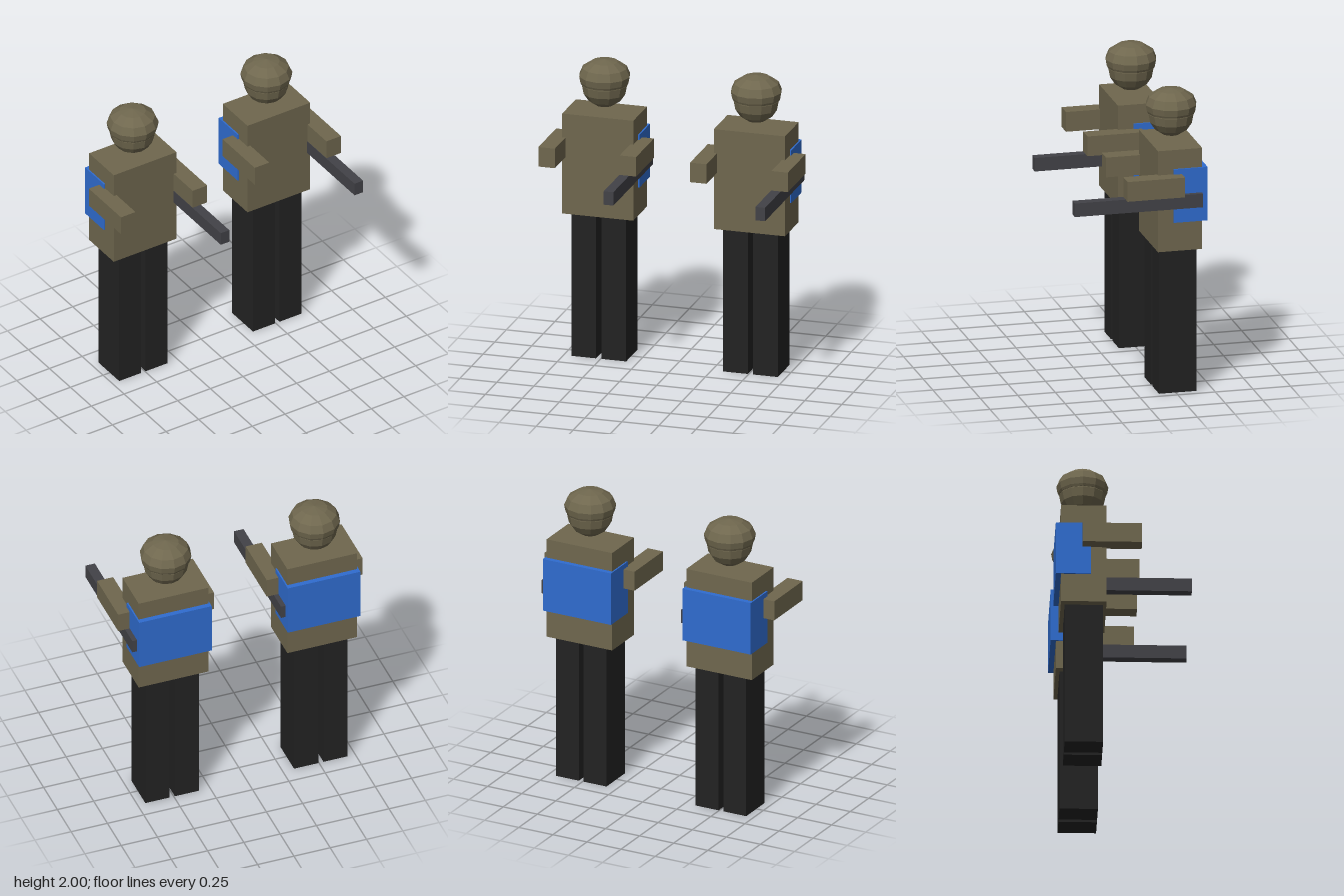
import * as THREE from 'three';

function material(name, color, flatShading = false) {
  const m = new THREE.MeshStandardMaterial({ color, flatShading });
  m.name = name;
  return m;
}

// Box given by its extents on each axis
function box(name, mat, [x0, x1], [y0, y1], [z0, z1]) {
  const mesh = new THREE.Mesh(new THREE.BoxGeometry(x1 - x0, y1 - y0, z1 - z0), mat);
  mesh.position.set((x0 + x1) / 2, (y0 + y1) / 2, (z0 + z1) / 2);
  mesh.name = name;
  return mesh;
}

export function createModel() {
  const olive = material('olive', 0x6f674e, true);
  const black = material('trouser black', 0x222222);
  const blue = material('vest blue', 0x2f6ccf);
  const grey = material('gun grey', 0x424247);

  // Faceted helmet with a tucked-in closed rim
  const helmetProfile = [[0, 1.835], [0.153, 1.835], [0.16, 1.85], [0.168, 1.892],
    [0.146, 1.945], [0.086, 1.985], [0, 2]].map(([r, y]) => new THREE.Vector2(r, y));
  const helmetGeometry = new THREE.LatheGeometry(helmetProfile, 12);
  const headGeometry = new THREE.SphereGeometry(0.15, 12, 8);

  function figure(name) {
    const g = new THREE.Group();
    g.name = name;
    g.add(box('torso', olive, [-0.24, 0.24], [0.972, 1.653], [-0.412, -0.118]));
    g.add(box('backPack', blue, [-0.25, 0.25], [1.165, 1.525], [-0.446, -0.22]));
    for (const [side, s] of [['left', 1], ['right', -1]]) {
      const span = (a, b) => (s > 0 ? [a, b] : [-b, -a]);
      g.add(box(side + 'Leg', black, span(0.018, 0.185), [0, 0.972], [-0.387, -0.139]));
      g.add(box(side + 'Arm', olive, span(0.219, 0.33), [1.357, 1.49], [-0.275, 0.108]));
    }
    g.add(box('gun', grey, [0.217, 0.282], [1.266, 1.357], [-0.407, 0.446]));

    const head = new THREE.Mesh(headGeometry, olive);
    head.name = 'head';
    head.position.set(0, 1.83, -0.267);
    const helmet = new THREE.Mesh(helmetGeometry, olive);
    helmet.name = 'helmet';
    helmet.position.z = -0.267;
    g.add(head, helmet);
    return g;
  }

  // Two identical figures side by side
  const model = new THREE.Group();
  model.name = 'standingPair';
  for (const [name, x] of [['rightFigure', -0.513], ['leftFigure', 0.511]]) {
    const f = figure(name);
    f.position.x = x;
    model.add(f);
  }
  return model;
}
